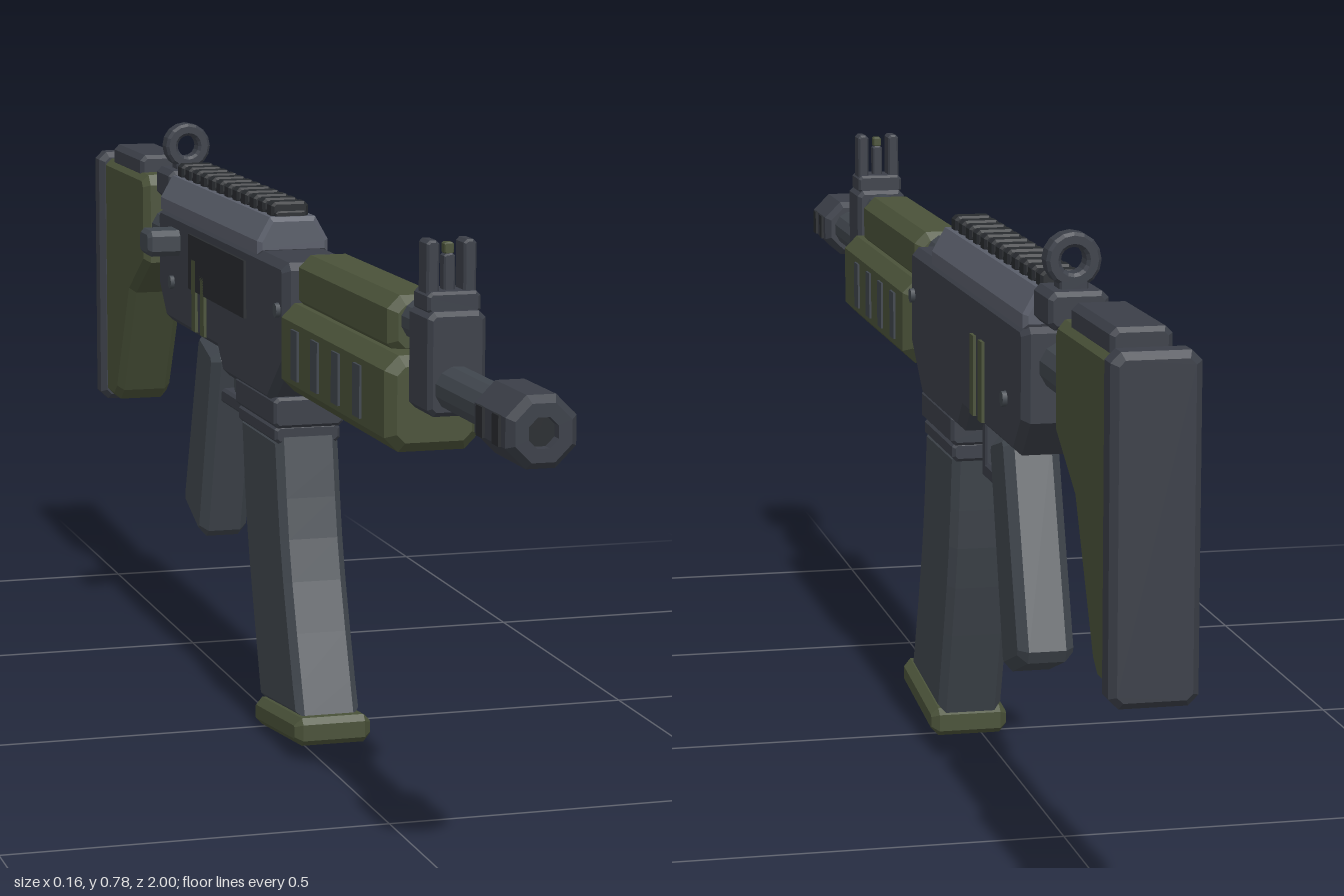
import * as THREE from 'three';

const CX = 0.018; // middle plane of the body
const paint = (name, hex) => {
  const m = new THREE.MeshStandardMaterial({ color: hex });
  m.name = name;
  return m;
};

export function createModel() {
  const root = new THREE.Group();
  const gunmetal = paint('gunmetal', 0x3b3f48);
  const steel = paint('steel', 0x40464d);
  const black = paint('black', 0x282b2f);
  const lightGrey = paint('lightGrey', 0x595d69);
  const olive = paint('olive', 0x4a5239);

  const add = (name, geo, mat, x = CX) => {
    const mesh = new THREE.Mesh(geo, mat);
    mesh.name = name;
    mesh.position.x = x;
    root.add(mesh);
    return mesh;
  };
  const toShape = pts => new THREE.Shape(pts.map(p => new THREE.Vector2(p[0], p[1])));
  const extrude = (shape, length, b) => {
    const g = new THREE.ExtrudeGeometry(shape, {
      depth: length - 2 * b, bevelEnabled: b > 0, bevelSegments: 1,
      bevelSize: b, bevelThickness: b, bevelOffset: -b, curveSegments: 8,
    });
    return g.translate(0, 0, b - length / 2);
  };
  // Side outline of [z, y] points, given a width across x
  const profile = (name, pts, half, b, mat) =>
    add(name, extrude(toShape(pts), half * 2, b).rotateY(-Math.PI / 2), mat);
  // Section of [x, y] points, run along z
  const section = (name, pts, z0, z1, b, mat, x) =>
    add(name, extrude(toShape(pts), z1 - z0, b).translate(0, 0, (z0 + z1) / 2), mat, x);
  // Box with all edges chamfered
  const block = (name, z0, z1, y0, y1, h, c, mat, x) =>
    section(name, [[-h + c, y0], [h - c, y0], [h, y0 + c], [h, y1 - c],
      [h - c, y1], [-h + c, y1], [-h, y1 - c], [-h, y0 + c]], z0, z1, c * 0.7, mat, x);
  const plain = (name, w, h, d, x, y, z, mat) =>
    add(name, new THREE.BoxGeometry(w, h, d).translate(0, y, z), mat, x);
  // Turned part along z from [radius, z] points with rising z
  const turned = (name, pts, y, sides, mat) => {
    const g = new THREE.LatheGeometry(pts.map(p => new THREE.Vector2(p[0], p[1])), sides, Math.PI / sides)
      .toNonIndexed();
    g.computeVertexNormals();
    return add(name, g.rotateX(Math.PI / 2).translate(0, y, 0), mat);
  };
  const rod = (name, r, z0, z1, y, mat) =>
    turned(name, [[0, z0], [r, z0], [r, z1], [0, z1]], y, 12, mat);

  // Barrel and muzzle
  const by = 0.588;
  rod('barrel', 0.028, 0.55, 0.88, by, steel);
  turned('muzzle', [[0, 0.875], [0.036, 0.875], [0.045, 0.885], [0.045, 0.99], [0.036, 1],
    [0.019, 1], [0.019, 0.97]], by, 8, gunmetal);
  turned('bore', [[0, 0.96], [0.019, 0.96], [0.019, 0.985], [0, 0.985]], by, 8, black);
  for (const s of [-1, 1]) for (const z of [0.965, 0.91])
    plain('muzzleSlot', 0.008, 0.035, 0.022, CX + s * 0.041, by, z, black);

  // Front sight
  block('gasBlock', 0.62, 0.7, 0.555, 0.68, 0.036, 0.008, gunmetal);
  block('frontSightBase', 0.63, 0.687, 0.675, 0.702, 0.033, 0.005, gunmetal);
  for (const s of [-1, 1])
    block('frontSightEar', 0.642, 0.676, 0.695, 0.762, 0.008, 0.004, gunmetal, CX + s * 0.023);
  block('frontSightPost', 0.65, 0.668, 0.695, 0.745, 0.007, 0.003, gunmetal);
  block('frontSightTip', 0.652, 0.666, 0.744, 0.758, 0.006, 0.002, olive);

  // Handguard
  rod('gasTube', 0.026, 0.12, 0.63, 0.65, steel);
  block('lowerHandguard', 0.135, 0.615, 0.497, 0.615, 0.06, 0.018, olive);
  block('upperHandguard', 0.15, 0.56, 0.605, 0.68, 0.04, 0.016, olive);
  for (const s of [-1, 1]) for (let i = 0; i < 4; i++)
    plain('handguardVent', 0.008, 0.066, 0.03, CX + s * 0.059, 0.556, 0.495 - i * 0.093, steel);

  // Receiver
  profile('receiver', [[0.13, 0.53], [0.05, 0.465], [-0.19, 0.465], [-0.22, 0.497], [-0.52, 0.497],
    [-0.567, 0.545], [-0.567, 0.655], [-0.555, 0.665], [0.12, 0.665], [0.13, 0.655]], 0.052, 0.01, gunmetal);
  for (const s of [-1, 1]) {
    for (const z of [-0.29, -0.34])
      plain('receiverRib', 0.008, 0.104, 0.022, CX + s * 0.052, 0.558, z, olive);
    for (const [z, y] of [[-0.475, 0.56], [0.105, 0.6]])
      add('receiverPin', new THREE.CylinderGeometry(0.01, 0.01, 0.012, 8).rotateZ(Math.PI / 2)
        .translate(0, y, z), steel, CX + s * 0.052);
  }
  plain('ejectionPort', 0.008, 0.08, 0.31, CX - 0.052, 0.605, -0.215, black);
  // Charging handle on the right side
  add('chargingHandle', extrude(toShape([[-0.49, 0.612], [-0.482, 0.604], [-0.438, 0.604], [-0.43, 0.612],
    [-0.43, 0.634], [-0.438, 0.642], [-0.482, 0.642], [-0.49, 0.634]]), 0.054, 0.006)
    .rotateY(-Math.PI / 2), steel, -0.055);

  // Top cover and rail
  section('topCover', [[-0.05, 0.66], [0.05, 0.66], [0.05, 0.678], [0.032, 0.71], [-0.032, 0.71],
    [-0.05, 0.678]], -0.562, -0.005, 0.006, lightGrey);
  block('railBed', -0.55, -0.015, 0.7, 0.717, 0.022, 0.003, black);
  for (let i = 0; i < 12; i++)
    block('railTooth', -0.05 - i * 0.0455, -0.022 - i * 0.0455, 0.705, 0.729, 0.026, 0.005, black);

  // Rear sight with ring
  block('rearSightBase', -0.64, -0.555, 0.67, 0.716, 0.037, 0.008, gunmetal);
  block('rearSightStem', -0.615, -0.583, 0.705, 0.73, 0.018, 0.004, gunmetal);
  const ring = new THREE.Shape().absarc(0, 0.75, 0.034, 0, Math.PI * 2);
  ring.holes.push(new THREE.Path().absarc(0, 0.75, 0.016, 0, Math.PI * 2, true));
  add('rearSightRing', extrude(ring, 0.032, 0.004).translate(0, 0, -0.599), gunmetal);

  // Magazine
  const neck = (name, y0, y1, z0, z1, h) => block(name, z0, z1, y0, y1, h, 0.006, gunmetal);
  neck('magazineWell', 0.433, 0.475, -0.132, 0.072, 0.049);
  neck('magazineCollar', 0.41, 0.436, -0.126, 0.066, 0.046);
  const edge = pts => new THREE.SplineCurve(pts.map(p => new THREE.Vector2(...p))).getPoints(7)
    .map(p => [p.x, p.y]);
  profile('magazine', [
    ...edge([[0.067, 0.42], [0.1, 0.257], [0.172, 0.055]]),
    ...edge([[-0.022, 0.035], [-0.094, 0.257], [-0.122, 0.42]]),
  ], 0.044, 0.01, steel);
  profile('magazineFloor', [[0.188, 0.06], [0.196, 0.052], [0.196, 0.03], [0.188, 0.022], [-0.012, 0.001],
    [-0.022, 0.009], [-0.022, 0.032], [-0.012, 0.04]], 0.053, 0.01, olive);

  // Trigger, guard and grip
  block('guardFront', -0.212, -0.19, 0.405, 0.49, 0.02, 0.004, gunmetal);
  block('guardBottom', -0.33, -0.19, 0.403, 0.425, 0.02, 0.004, gunmetal);
  profile('trigger', [[-0.25, 0.5], [-0.262, 0.43], [-0.275, 0.42], [-0.285, 0.43], [-0.288, 0.5]],
    0.01, 0.002, steel);
  profile('grip', [[-0.302, 0.465], [-0.312, 0.48], [-0.385, 0.5], [-0.398, 0.488], [-0.485, 0.238],
    [-0.478, 0.222], [-0.392, 0.19], [-0.378, 0.2]], 0.036, 0.012, steel);

  // Stock
  rod('stockTube', 0.032, -0.72, -0.56, 0.614, steel);
  profile('stock', [[-0.692, 0.68], [-0.705, 0.695], [-0.965, 0.695], [-0.965, 0.312], [-0.905, 0.312],
    [-0.88, 0.33], [-0.792, 0.5], [-0.692, 0.56]], 0.043, 0.01, olive);
  block('cheekRest', -0.93, -0.742, 0.685, 0.721, 0.036, 0.008, gunmetal);
  block('buttPad', -1, -0.957, 0.303, 0.705, 0.052, 0.012, gunmetal);

  return root;
}
